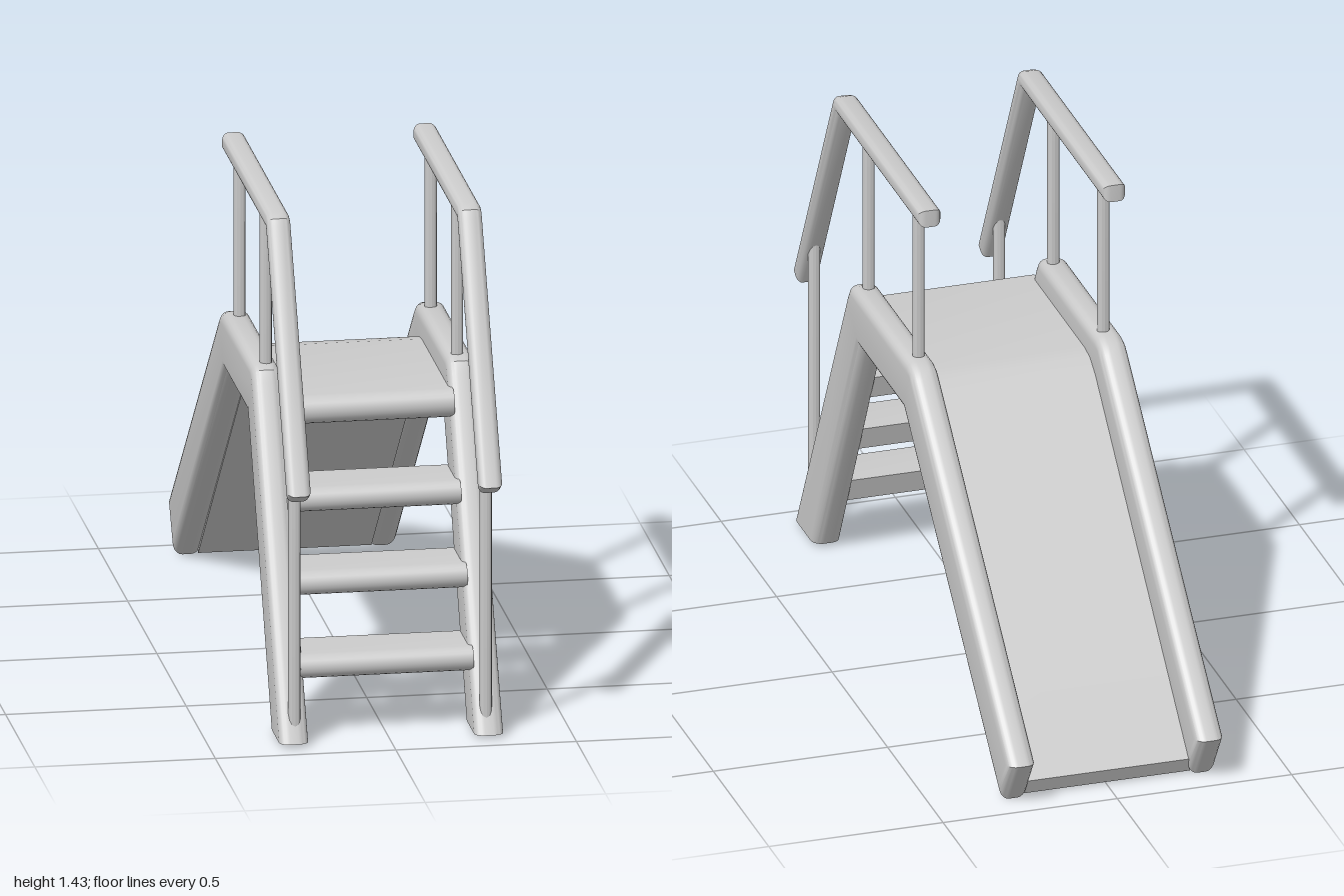
import * as THREE from 'three';
import { toCreasedNormals } from 'three/addons/utils/BufferGeometryUtils.js';

const material = new THREE.MeshStandardMaterial({ color: 0xcccccc });

// Side profile given as [z, y] points, extruded along x and centred on x = 0.
function extrudeProfile(points, width, bevel = 0) {
  const shape = new THREE.Shape(points.map(([z, y]) => new THREE.Vector2(z, y)));
  const depth = width - 2 * bevel;
  const geometry = new THREE.ExtrudeGeometry(shape, {
    depth,
    bevelEnabled: bevel > 0,
    bevelSize: bevel,
    bevelThickness: bevel,
    bevelOffset: -bevel,
    bevelSegments: 5,
  });
  geometry.translate(0, 0, -depth / 2);
  geometry.rotateY(-Math.PI / 2);
  return geometry;
}

function makeMesh(name, geometry) {
  const mesh = new THREE.Mesh(toCreasedNormals(geometry, 0.6), material);
  mesh.name = name;
  return mesh;
}

// Half-round nose at the front (+z) of a board, running from bottom to top.
function nose(front, bottom, top) {
  const r = (top - bottom) / 2;
  const points = [];
  for (let i = 0; i <= 10; i++) {
    const a = -Math.PI / 2 + (Math.PI * i) / 10;
    points.push([front - r + r * Math.cos(a), bottom + r + r * Math.sin(a)]);
  }
  return points;
}

// Bent side beam: ladder leg, platform edge and slide wall in one piece.
function sideBeamGeometry() {
  const geometry = extrudeProfile([
    [0.94, 0.01], [0.76, 0.01], [0.365, 0.785], [-0.04, 0.785], [-0.91, 0],
    [-1, 0.135], [-0.135, 0.915], [-0.11, 0.935], [-0.075, 0.945],
    [0.425, 0.945], [0.455, 0.935], [0.475, 0.905],
  ], 0.08, 0.028);
  // Cut the foot flat, sliding its vertices along the leg.
  const p = geometry.attributes.position;
  for (let i = 0; i < p.count; i++) {
    if (p.getZ(i) > 0.55 && p.getY(i) < 0.2) {
      p.setZ(i, p.getZ(i) + (p.getY(i) - 0.01) * 0.53);
      p.setY(i, 0.01);
    }
  }
  return geometry;
}

function makeSide(sign) {
  const side = new THREE.Group();
  side.name = sign > 0 ? 'leftSide' : 'rightSide';

  const beam = makeMesh('sideBeam', sideBeamGeometry());
  beam.position.x = sign * 0.27;
  side.add(beam);

  // Bent handrail
  const rail = makeMesh('handrail', extrudeProfile([
    [1, 0.735], [0.65, 1.4], [0.638, 1.422], [0.61, 1.433], [-0.15, 1.433],
    [-0.15, 1.383], [0.604, 1.383], [0.96, 0.71],
  ], 0.066, 0.02));
  rail.position.x = sign * 0.265;
  side.add(rail);

  // Rail posts: z, bottom, top
  for (const [z, bottom, top] of [[0.9, 0.04, 0.87], [0.41, 0.9, 1.41], [-0.04, 0.9, 1.41]]) {
    const post = makeMesh('railPost', new THREE.CylinderGeometry(0.017, 0.017, top - bottom, 12));
    post.position.set(sign * 0.265, (top + bottom) / 2, z);
    side.add(post);
  }
  return side;
}

export function createModel() {
  const model = new THREE.Group();
  model.name = 'playgroundSlide';
  model.add(makeSide(1), makeSide(-1));

  // Platform running into the slide bed
  model.add(makeMesh('platformAndSlideBed', extrudeProfile([
    ...nose(0.53, 0.79, 0.87),
    [0.02, 0.87], [-0.03, 0.862], [-0.08, 0.83],
    [-0.92, 0.05], [-0.9, 0.005], [-0.04, 0.79],
  ], 0.48)));

  // Ladder treads
  for (let i = 0; i < 3; i++) {
    const bottom = 0.165 + i * 0.205;
    const front = 0.855 - i * 0.107;
    model.add(makeMesh('tread', extrudeProfile([
      ...nose(front, bottom, bottom + 0.068),
      [front - 0.18, bottom + 0.068], [front - 0.16, bottom],
    ], 0.48)));
  }
  return model;
}
